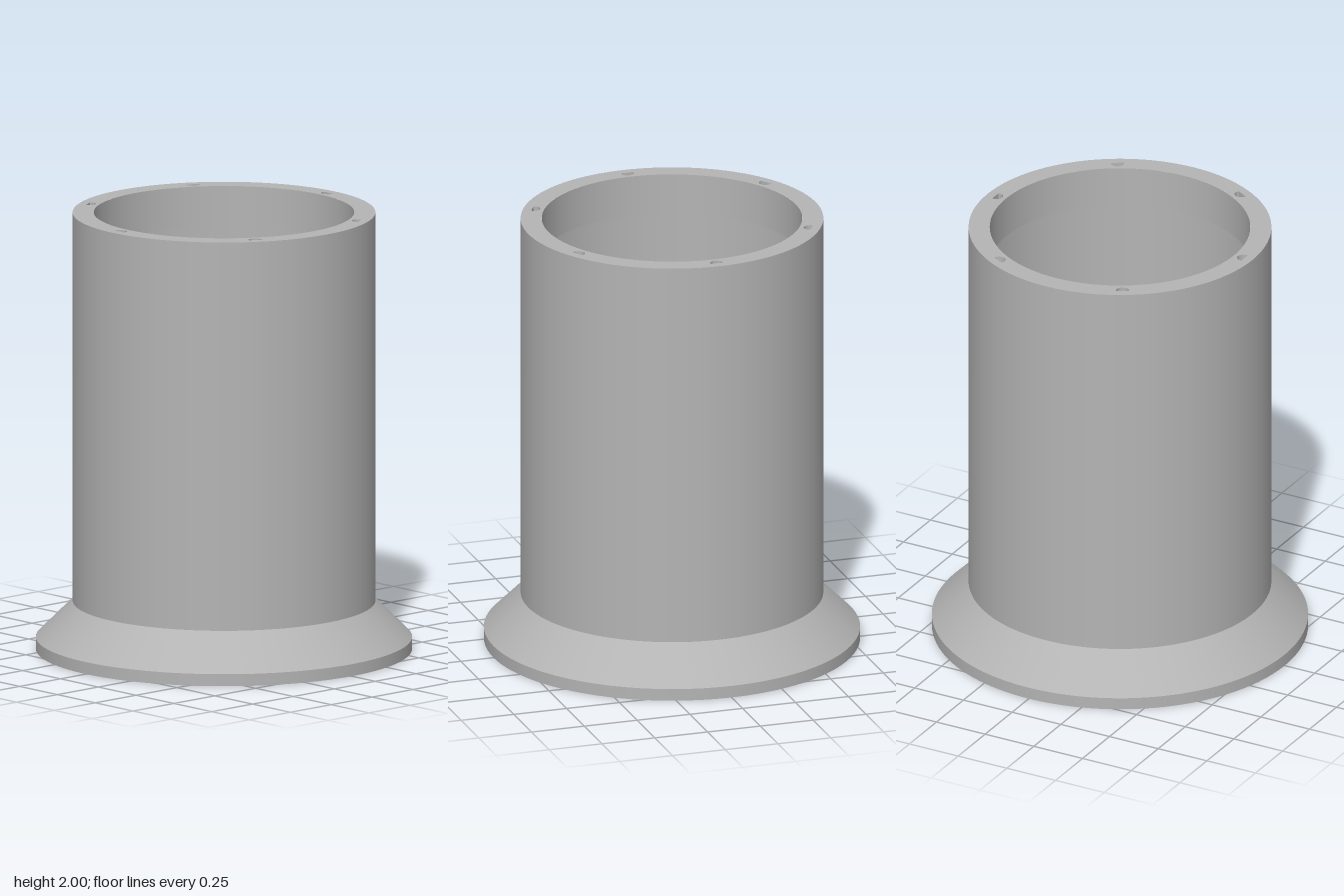
import * as THREE from 'three';

const SEG = 128;
const R_OUT = 0.68, R_IN = 0.645, R_LIP = 0.585, R_BASE = 0.845;
const Y_LIP = 1.81, Y_BASE = 0.055, Y_CONE = 0.22;

export function createModel() {
  const group = new THREE.Group();
  const grey = new THREE.MeshStandardMaterial({ color: 0xb4b4b4 });
  grey.name = 'grey';

  const add = (name, geometry, parent = group) => {
    const mesh = new THREE.Mesh(geometry, grey);
    mesh.name = name;
    parent.add(mesh);
    return mesh;
  };

  // One band of revolution; separate bands keep the edges sharp
  const band = (name, r0, y0, r1, y1) => add(name, new THREE.LatheGeometry(
    [new THREE.Vector2(r0, y0), new THREE.Vector2(r1, y1)], SEG));

  band('baseRim', R_BASE, 0, R_BASE, Y_BASE);
  band('baseCone', R_BASE, Y_BASE, R_OUT, Y_CONE);
  band('outerWall', R_OUT, Y_CONE, R_OUT, 2);
  band('lipWall', R_LIP, 2, R_LIP, Y_LIP);
  band('lipUnderside', R_LIP, Y_LIP, R_IN, Y_LIP);
  band('innerWall', R_IN, Y_LIP, R_IN, 0);

  // Flat ring facing +z with six blind holes sunk behind it
  const drilledRing = (name, outer, inner, outline, depth) => {
    const ring = new THREE.Group();
    ring.name = name;
    const shape = new THREE.Shape().absarc(0, 0, outer, 0, Math.PI * 2);
    shape.holes.push(new THREE.Path().absarc(0, 0, inner, 0, Math.PI * 2, true));
    for (let i = 0; i < 6; i++) {
      const angle = i * Math.PI / 3;
      const points = outline.map(p => p.clone().rotateAround(new THREE.Vector2(), angle));
      shape.holes.push(new THREE.Path(points));
      // Mirroring turns the plug inside out, so it shows as a pocket
      const pocket = new THREE.ExtrudeGeometry(new THREE.Shape(outline),
        { depth, bevelEnabled: false });
      pocket.translate(0, 0, -depth).scale(1, -1, 1).rotateZ(angle);
      pocket.computeVertexNormals();
      add('screwHole', pocket, ring);
    }
    add(name + 'Face', new THREE.ShapeGeometry(shape, SEG), ring);
    group.add(ring);
    return ring;
  };

  // Arc outline; a partial sweep leaves a flat side facing outwards
  const arc = (x, r, from, to, n) => Array.from({ length: n }, (_, i) => {
    const a = from + (to - from) * i / (n - 1);
    return new THREE.Vector2(x + r * Math.cos(a), r * Math.sin(a));
  });

  // Top ring with D-shaped holes
  const top = drilledRing('topRing', R_OUT, R_LIP,
    arc(0.634, 0.03, 1.37, Math.PI * 2 - 1.37, 17), 0.12);
  top.rotation.x = -Math.PI / 2;
  top.position.y = 2;

  // Underside of the base with round holes
  const bottom = drilledRing('baseUnderside', R_BASE, R_IN,
    arc(0.767, 0.02, 0, Math.PI * 2 * 15 / 16, 16), 0.1);
  bottom.rotation.x = Math.PI / 2;

  // Upright prism from plan points [x, z]
  const prism = (name, plan, y0, y1) => {
    const shape = new THREE.Shape(plan.map(([x, z]) => new THREE.Vector2(x, -z)));
    const geometry = new THREE.ExtrudeGeometry(shape, { depth: y1 - y0, bevelEnabled: false });
    add(name, geometry.rotateX(-Math.PI / 2).translate(0, y0, 0));
  };

  // Mounting blocks inside the tube
  for (const s of [-1, 1]) {
    prism(s > 0 ? 'leftBlock' : 'rightBlock',
      [[0.475, 0.25], [0.61, 0.25], [0.56, 0.355], [0.475, 0.45]]
        .map(([x, z]) => [s * x, z]), 0.61, 1);
  }
  prism('backBlock', [[-0.053, -0.555], [0.053, -0.555], [0.053, -0.655], [-0.053, -0.655]], 0.61, 1);

  // Pair of hooked guide rails on the left wall
  for (const s of [-1, 1]) {
    prism('guideRail', [[0.54, 0.05], [0.655, 0.05], [0.655, 0.036], [0.552, 0.036],
      [0.552, 0.025], [0.54, 0.025]].map(([x, z]) => [x, s * z]), 0.61, 1);
  }

  return group;
}
